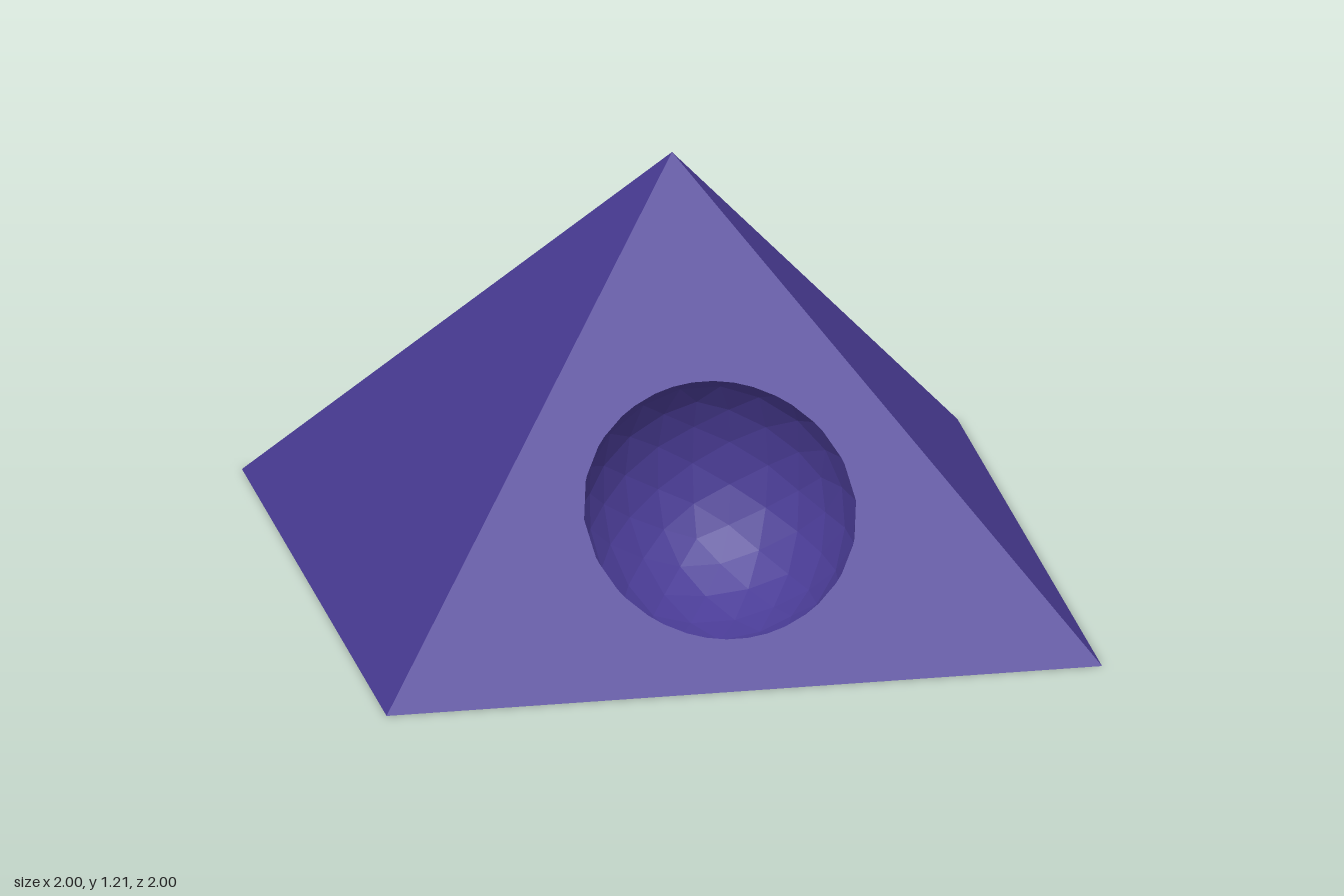
import * as THREE from 'three';

const HEIGHT = 1.213;
const RADIUS = 0.38;

export function createModel() {
  const model = new THREE.Group();
  model.name = 'pyramid';
  const violet = new THREE.MeshStandardMaterial({ color: 0x4a3c96 });
  violet.name = 'violet';
  violet.flatShading = true;

  const add = (name, geometry) => {
    const mesh = new THREE.Mesh(geometry, violet);
    mesh.name = name;
    model.add(mesh);
  };

  // Left, back and right slopes: a four-sided cone without its front side
  const slopes = new THREE.ConeGeometry(Math.SQRT2, HEIGHT, 3, 1, true, Math.PI / 4, Math.PI * 1.5);
  add('sideSlopes', slopes.translate(0, HEIGHT / 2, 0));

  // Underside
  add('base', new THREE.PlaneGeometry(2, 2).rotateX(Math.PI / 2));

  // Frame of the front slope, with its origin at the middle of the bowl
  const slant = Math.hypot(1, HEIGHT);
  const right = new THREE.Vector3(1, 0, 0);
  const up = new THREE.Vector3(0, HEIGHT, -1).divideScalar(slant);
  const normal = new THREE.Vector3(0, 1, HEIGHT).divideScalar(slant);
  const centreY = 0.407;
  const centre = new THREE.Vector3(0, centreY, 1 - centreY / HEIGHT);

  // Bowl: the half of a faceted ball behind the slope, turned inside out
  const ball = new THREE.IcosahedronGeometry(RADIUS, 3).attributes.position;
  const bowlPoints = [];
  const rim = [];
  for (let i = 0; i < ball.count; i += 3) {
    const corners = [0, 1, 2].map((k) => new THREE.Vector3().fromBufferAttribute(ball, i + k));
    const kept = [];
    corners.forEach((a, k) => {
      const b = corners[(k + 1) % 3];
      const da = a.dot(normal);
      const db = b.dot(normal);
      if (da <= 0) kept.push(a);
      if ((da <= 0) !== (db <= 0)) {
        const cut = a.clone().lerp(b, da / (da - db));
        kept.push(cut);
        rim.push(new THREE.Vector2(cut.dot(right), cut.dot(up)));
      }
    });
    for (let k = 1; k + 1 < kept.length; k++) bowlPoints.push(kept[0], kept[k + 1], kept[k]);
  }
  const bowl = new THREE.BufferGeometry().setFromPoints(bowlPoints);
  bowl.computeVertexNormals();
  add('bowl', bowl.translate(centre.x, centre.y, centre.z));

  // Front slope with a hole that follows the rim of the bowl
  const angle = (p) => Math.atan2(p.y, p.x);
  rim.sort((a, b) => angle(a) - angle(b));
  const loop = rim.filter((p, i) => i === 0 || p.distanceTo(rim[i - 1]) > 1e-4);
  if (loop[0].distanceTo(loop[loop.length - 1]) < 1e-4) loop.pop();
  const foot = -centreY * slant / HEIGHT;
  const face = new THREE.Shape([
    new THREE.Vector2(-1, foot),
    new THREE.Vector2(1, foot),
    new THREE.Vector2(0, foot + slant),
  ]);
  face.holes.push(new THREE.Path(loop));
  const frame = new THREE.Matrix4().makeBasis(right, up, normal).setPosition(centre);
  add('frontSlope', new THREE.ShapeGeometry(face).applyMatrix4(frame));

  return model;
}
